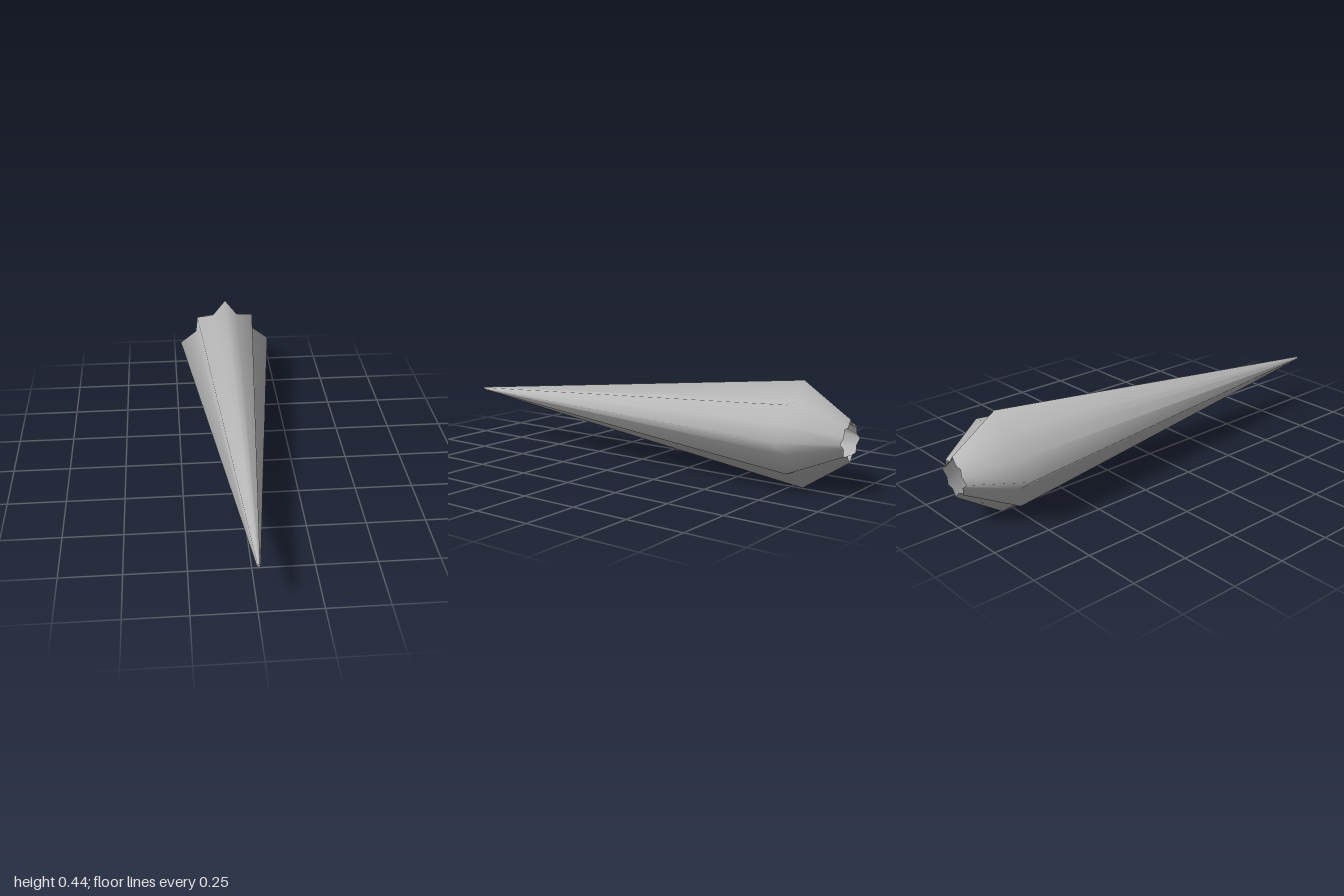
import * as THREE from 'three';

const CENTRE_Y = 0.219;

// Eight-pointed star outline at full size, with a slight diagonal stretch
function starPoints() {
  const points = [];
  for (let j = 0; j < 16; j++) {
    const angle = (j * Math.PI) / 8;
    const r = j % 2 ? 0.157 : j % 4 ? 0.196 : 0.222;
    const x = r * Math.cos(angle), y = r * Math.sin(angle);
    points.push(new THREE.Vector2(x + 0.025 * y, y * 0.985 + 0.025 * x));
  }
  return points;
}

// Loft the star through stations of position, scale and normal tilt along z
function loftStar(stations) {
  const star = starPoints(), n = star.length;
  const positions = [], normals = [], indices = [];
  stations.forEach(({ z, scale, tilt }, i) => {
    star.forEach((p, j) => {
      positions.push(p.x * scale, p.y * scale, z);
      const t = star[(j + 1) % n].clone().sub(star[(j + n - 1) % n]).normalize();
      const flat = Math.sqrt(1 - tilt * tilt);
      normals.push(t.y * flat, -t.x * flat, tilt);
      if (i === 0) return;
      const k = (j + 1) % n, front = (i - 1) * n, back = i * n;
      indices.push(front + j, back + j, front + k, front + k, back + j, back + k);
    });
  });
  const geometry = new THREE.BufferGeometry();
  geometry.setAttribute('position', new THREE.Float32BufferAttribute(positions, 3));
  geometry.setAttribute('normal', new THREE.Float32BufferAttribute(normals, 3));
  geometry.setIndex(indices);
  return geometry;
}

export function createModel() {
  const grey = new THREE.MeshStandardMaterial({ color: 0xb8b8b8, side: THREE.DoubleSide });
  grey.name = 'grey';
  const model = new THREE.Group();
  model.name = 'flutedSpike';

  // Long fluted spike, widening backwards then tapering to an open end
  const body = new THREE.Mesh(loftStar([
    { z: 1, scale: 0.032, tilt: 0.12 },
    { z: -0.8, scale: 1, tilt: -0.2 },
    { z: -1, scale: 0.39, tilt: -0.54 },
  ]), grey);
  body.name = 'spikeBody';

  // Blunt tip
  const tip = new THREE.Mesh(new THREE.CircleGeometry(0.006, 16), grey);
  tip.name = 'spikeTip';
  tip.position.z = 1;

  model.add(body, tip);
  model.children.forEach((part) => { part.position.y = CENTRE_Y; });
  return model;
}
